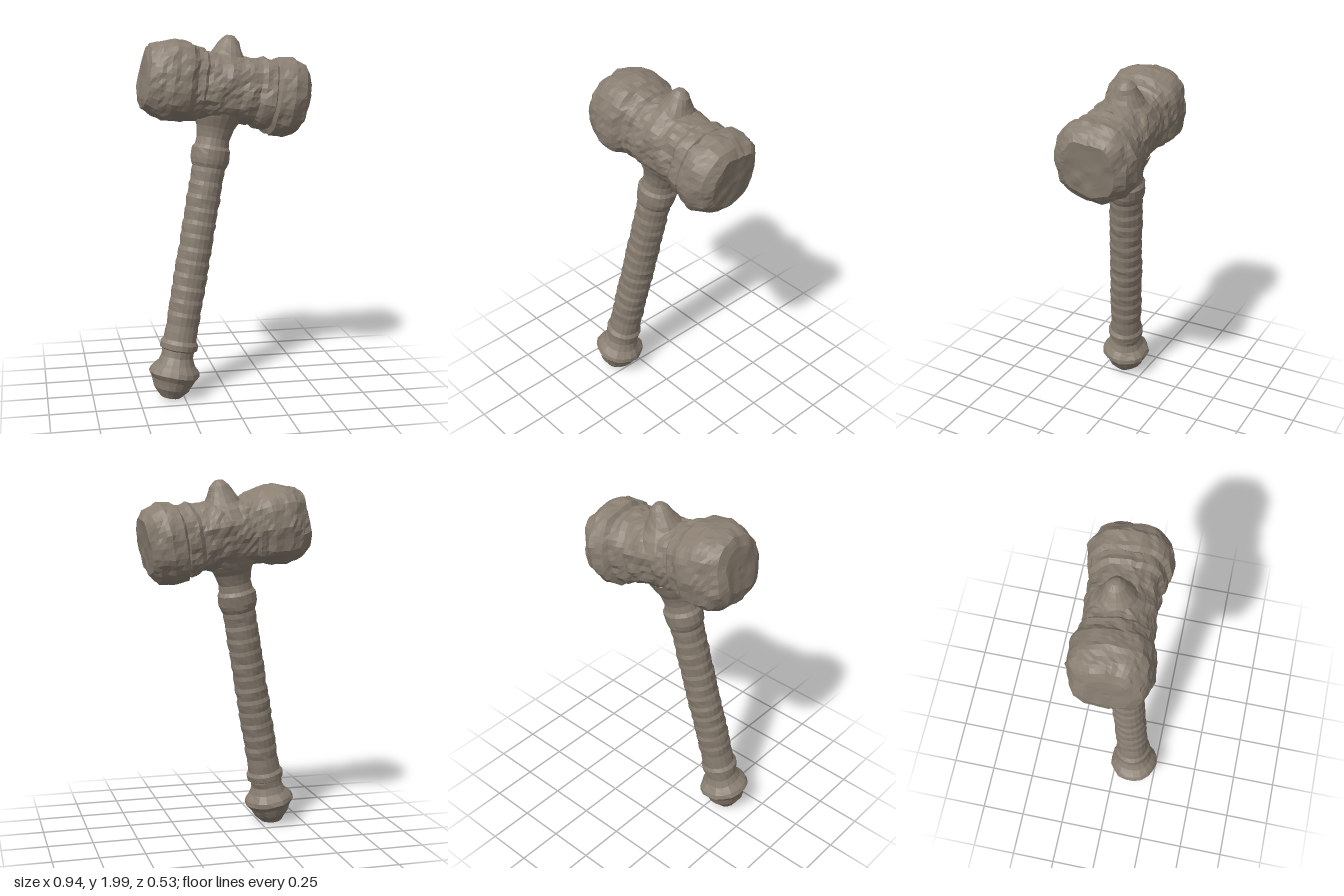
import * as THREE from 'three';

const V = (x, y, z) => new THREE.Vector3(x, y, z);

// Repeatable value in -1..1 for a lattice cell
function hash(i, j, k) {
  const s = Math.sin(i * 127.1 + j * 311.7 + k * 74.7) * 43758.5453;
  return (s - Math.floor(s)) * 2 - 1;
}

// Smoothly blended lattice noise, used to roughen the carved stone
function noise(x, y, z) {
  const f = [x, y, z].map(Math.floor);
  const t = [x - f[0], y - f[1], z - f[2]].map((v) => v * v * (3 - 2 * v));
  let sum = 0;
  for (let n = 0; n < 8; n++) {
    const b = [n & 1, (n >> 1) & 1, n >> 2];
    const w = b.reduce((a, q, i) => a * (q ? t[i] : 1 - t[i]), 1);
    sum += w * hash(f[0] + b[0], f[1] + b[1], f[2] + b[2]);
  }
  return sum;
}

// Turned form along y: profile of [radius, height], squared off by power, then roughened
function turned(profile, step, sides, power, rough, freq) {
  const points = [];
  profile.forEach(([r, h], i) => {
    if (i === 0) return points.push(new THREE.Vector2(r, h));
    const [r0, h0] = profile[i - 1];
    const n = Math.max(1, Math.round(Math.hypot(r - r0, h - h0) / step));
    for (let k = 1; k <= n; k++) {
      points.push(new THREE.Vector2(r0 + (r - r0) * k / n, h0 + (h - h0) * k / n));
    }
  });
  const geo = new THREE.LatheGeometry(points, sides);
  const pos = geo.attributes.position;
  for (let i = 0; i < pos.count; i++) {
    const p = V(0, 0, 0).fromBufferAttribute(pos, i);
    const r = Math.hypot(p.x, p.z);
    if (r > 1e-5) {
      const c = Math.abs(p.x / r), s = Math.abs(p.z / r);
      const square = Math.pow(c ** power + s ** power, -1 / power);
      const bump = noise(p.x * freq + 9, p.y * freq + 5, p.z * freq + 3)
        + 0.5 * noise(p.x * freq * 2.3, p.y * freq * 2.3, p.z * freq * 2.3);
      const k = square * (1 + rough * bump / Math.max(r, 0.05));
      p.x *= k;
      p.z *= k;
      p.y += rough * 0.6 * noise(p.x * freq + 40, p.y * freq, p.z * freq + 17);
    }
    pos.setXYZ(i, p.x, p.y, p.z);
  }
  geo.computeVertexNormals();
  return geo;
}

export function createModel() {
  const model = new THREE.Group();
  model.name = 'warHammer';
  const stone = new THREE.MeshStandardMaterial({ color: 0x8a7f72, flatShading: true });
  stone.name = 'weatheredStone';

  const add = (name, geo, origin, direction) => {
    const mesh = new THREE.Mesh(geo, stone);
    mesh.name = name;
    mesh.position.copy(origin);
    mesh.quaternion.setFromUnitVectors(V(0, 1, 0), direction.clone().normalize());
    model.add(mesh);
  };

  // Leaning handle line, from the pommel tip to the spike on the head
  const foot = V(-0.33, 0.01, 0.13);
  const lean = V(0.19, 1, -0.095);

  // Faceted pommel with a sharp girdle and a narrow neck
  add('pommel', turned([
    [0, 0], [0.06, 0.012], [0.1, 0.06], [0.12, 0.11], [0.142, 0.14],
    [0.135, 0.165], [0.105, 0.2], [0.09, 0.24], [0.09, 0.3],
  ], 0.03, 18, 2, 0.006, 18), foot, lean);

  // Shaft with wrapped ridges
  const grip = [[0.08, 0.27], [0.102, 0.285], [0.104, 0.315], [0.092, 0.335], [0.092, 0.38]];
  for (let i = 0; i < 12; i++) {
    const h = 0.42 + i * 0.073;
    grip.push([0.089, h], [0.094, h + 0.05]);
  }
  grip.push([0.091, 1.3], [0.1, 1.32], [0.105, 1.345], [0.106, 1.4], [0.094, 1.42],
    [0.09, 1.46], [0.105, 1.52], [0.13, 1.57], [0.15, 1.62]);
  add('shaft', turned(grip, 0.03, 20, 2, 0.004, 20), foot, lean);

  // Two-ended head: swollen faces joined by a narrower barrel
  add('head', turned([
    [0, -0.45], [0.12, -0.455], [0.168, -0.435], [0.2, -0.38], [0.218, -0.31],
    [0.213, -0.22], [0.192, -0.18], [0.192, -0.14], [0.178, -0.125], [0.178, 0.17],
    [0.196, 0.195], [0.198, 0.25], [0.188, 0.258], [0.214, 0.275], [0.222, 0.35],
    [0.195, 0.42], [0.15, 0.455], [0, 0.455],
  ], 0.025, 44, 2.45, 0.012, 17), V(0, 1.71, -0.025), V(1, -0.16, -0.05));

  // Blunt spike rising from the middle of the head
  add('topSpike', turned([
    [0.17, 1.82], [0.135, 1.88], [0.1, 1.91], [0.075, 1.95], [0.05, 2.0], [0.025, 2.025], [0, 2.03],
  ], 0.025, 18, 2, 0.005, 18), foot, lean);

  return model;
}
